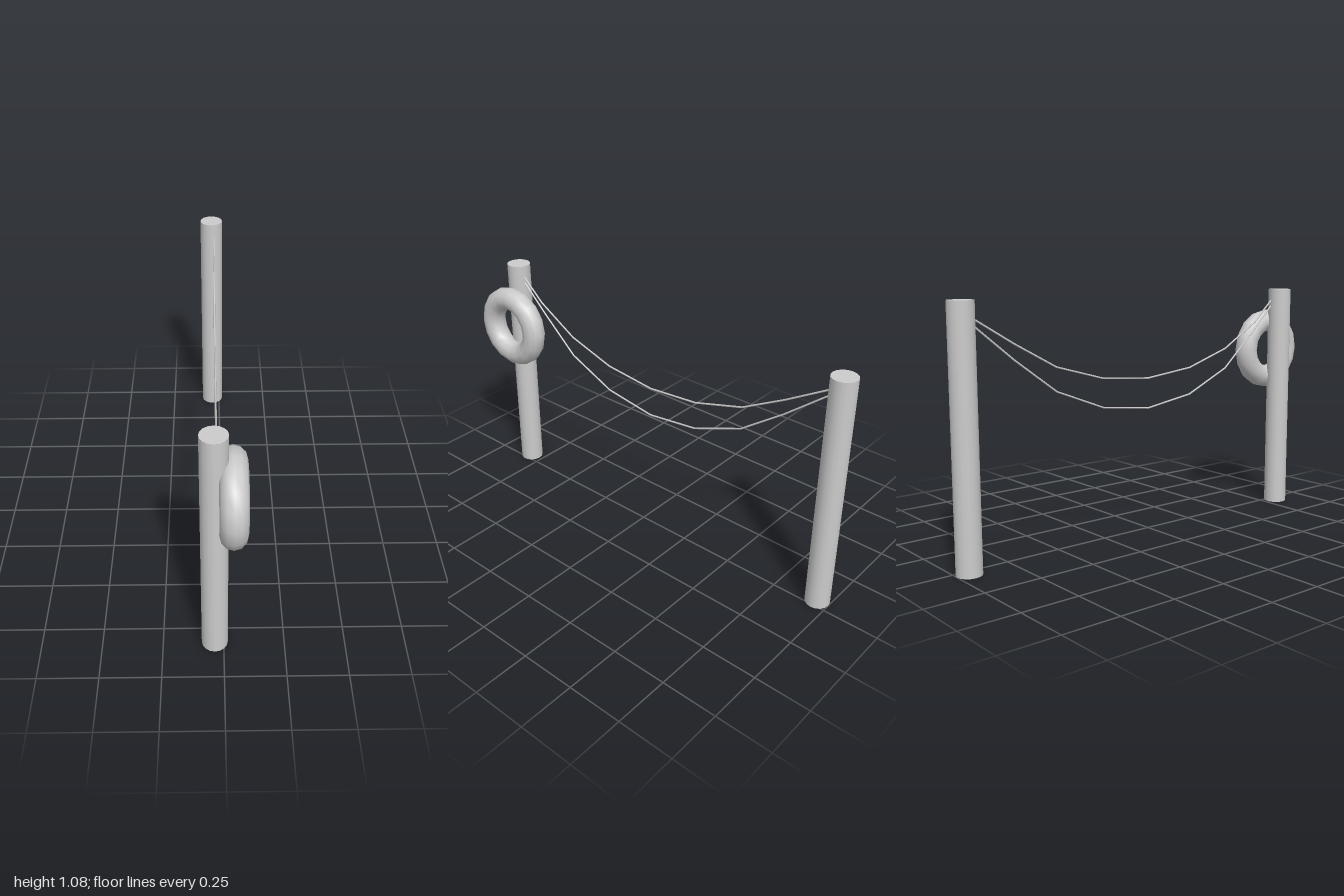
import * as THREE from 'three';

const material = new THREE.MeshStandardMaterial({ color: 0xcccccc });
const POST_X = -0.037, POST_R = 0.054, POST_H = 1.075;

function add(group, name, geometry, x = 0, y = 0, z = 0) {
  const mesh = new THREE.Mesh(geometry, material);
  mesh.name = name;
  mesh.position.set(x, y, z);
  group.add(mesh);
  return mesh;
}

// Thin sagging rope with one straight segment between each pair of [z, y] points
function ropeGeometry(points) {
  const curve = new THREE.CatmullRomCurve3(points.map(([z, y]) => new THREE.Vector3(-0.025, y, z)));
  curve.getPointAt = curve.getPoint;
  curve.getTangentAt = curve.getTangent;
  return new THREE.TubeGeometry(curve, points.length - 1, 0.004, 6);
}

export function createModel() {
  const group = new THREE.Group();
  group.name = 'ropeBarrier';

  // Two round posts
  const post = new THREE.CylinderGeometry(POST_R, POST_R, POST_H, 16);
  add(group, 'frontPost', post, POST_X, POST_H / 2, 0.82);
  add(group, 'backPost', post, POST_X, POST_H / 2, -0.946);

  // Life ring hung on the left side of the front post
  const ring = add(group, 'lifeRing', new THREE.TorusGeometry(0.141, 0.054, 12, 16), 0.035, 0.777, 0.805);
  ring.rotation.y = Math.PI / 2;

  // Upper and lower ropes, their ends sunk into the posts
  add(group, 'upperRope', ropeGeometry([
    [0.8, 1.045], [0.66, 0.92], [0.46, 0.802], [0.23, 0.728], [-0.02, 0.7],
    [-0.27, 0.72], [-0.51, 0.787], [-0.71, 0.895], [-0.92, 1.02],
  ]));
  add(group, 'lowerRope', ropeGeometry([
    [0.8, 1.02], [0.64, 0.868], [0.46, 0.708], [0.23, 0.604], [-0.02, 0.565],
    [-0.27, 0.593], [-0.51, 0.685], [-0.71, 0.83], [-0.92, 1.0],
  ]));

  return group;
}
